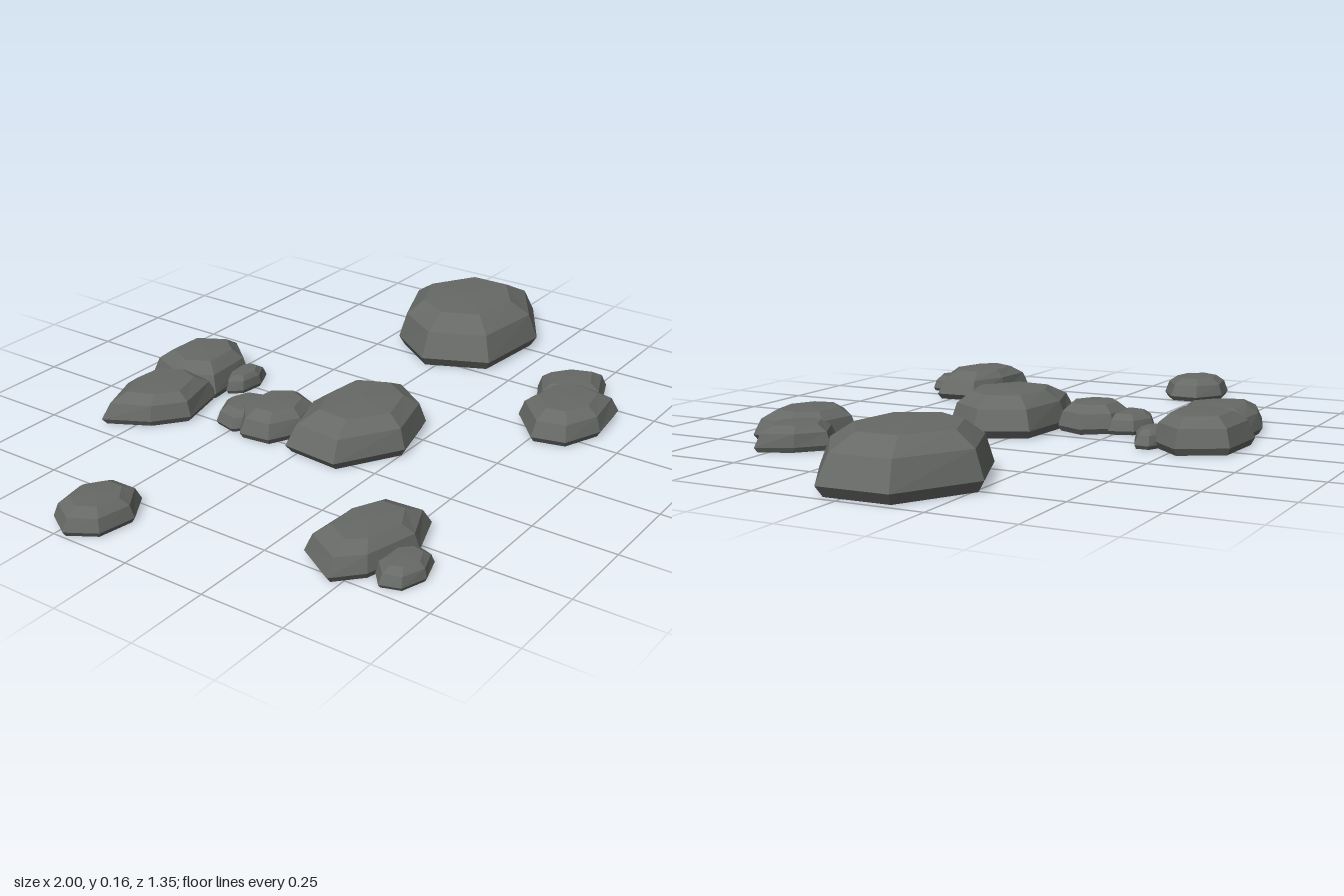
import * as THREE from 'three';

// Cross-section rings: [height fraction, outline scale, rounding towards a circle]
const RINGS = [
  [0, 0.92, 0],
  [0.2, 1, 0],
  [0.7, 0.87, 0.12],
  [0.97, 0.6, 0.3],
];

// Irregular rocks: height and plan corners as x, z pairs in hundredths of a unit
const ROCKS = {
  largeRock: [0.155, [76, -28, 99.5, -15, 100, 6, 79, 19, 52, 16.5, 43, -3, 54, -19]],
  middleRock: [0.12, [-12, -8, 9.5, -6.5, 16.5, 8.5, 7, 21.5, -12, 26.5, -31, 15, -29.5, -3]],
  backRightRock: [0.09, [-46.5, -58.5, -30.5, -64, -15.5, -64, -9, -53, -13, -42, -30, -38, -39.5, -45.5]],
  backLeftRock: [0.105, [-13.5, -67.5, 5, -66.5, 13, -53, 4, -43, -14, -41.5, -20, -53]],
  frontRightRock: [0.092, [-71.5, 35, -56, 36.5, -42, 41, -41, 54, -54.5, 59, -71.5, 54.5, -79, 47.5]],
  frontLeftRock: [0.09, [28, 41, 42, 43, 50, 51.5, 47, 64.5, 31, 66.5, 19, 61.5, 16.5, 51.5]],
  frontLeftSmallRock: [0.075, [49, 36, 57, 43, 62, 53, 49, 58, 38, 54, 37, 42]],
};

// Rounder stones: height, centre x and z, radius along x and z, angle of the first corner
const PEBBLES = {
  sideRock: [0.072, -0.866, -0.217, 0.134, 0.105, Math.PI],
  middleBackRock: [0.085, -0.17, -0.155, 0.138, 0.11, -0.1],
  middleBackPebble: [0.06, -0.183, -0.257, 0.106, 0.084, -1.6],
  backPebble: [0.055, 0, -0.413, 0.09, 0.049, Math.PI],
  frontRightPebble: [0.052, -0.637, 0.603, 0.097, 0.067, Math.PI / 2],
};

function outlineCorners(plan) {
  return Array.from({ length: plan.length / 2 },
    (_, i) => new THREE.Vector2(plan[2 * i] / 100, plan[2 * i + 1] / 100));
}

function ellipseCorners(x, z, rx, rz, start) {
  return Array.from({ length: 7 }, (_, i) => {
    const a = start + (i / 7) * Math.PI * 2;
    return new THREE.Vector2(x + rx * Math.cos(a), z + rz * Math.sin(a));
  });
}

// Lofts the rings of one rock and closes it with a base and a low crown
function rockGeometry(height, corners) {
  const n = corners.length;
  const c = new THREE.Box2().setFromPoints(corners).getCenter(new THREE.Vector2());
  const mean = corners.reduce((sum, p) => sum + p.distanceTo(c), 0) / n;

  const positions = [];
  for (const [h, scale, round] of RINGS) {
    for (const p of corners) {
      const k = scale * THREE.MathUtils.lerp(1, mean / p.distanceTo(c), round);
      positions.push(c.x + (p.x - c.x) * k, h * height, c.y + (p.y - c.y) * k);
    }
  }
  const base = RINGS.length * n;
  const crown = base + 1;
  positions.push(c.x, 0, c.y, c.x, height, c.y);

  const index = [];
  const top = base - n;
  for (let i = 0; i < n; i++) {
    const j = (i + 1) % n;
    for (let r = 0; r < top; r += n) {
      index.push(r + i, r + n + i, r + j, r + j, r + n + i, r + n + j);
    }
    index.push(base, i, j, crown, top + j, top + i);
  }
  const geometry = new THREE.BufferGeometry();
  geometry.setAttribute('position', new THREE.Float32BufferAttribute(positions, 3));
  geometry.setIndex(index);

  // Separate faces keep every facet flat
  const faceted = geometry.toNonIndexed();
  faceted.computeVertexNormals();
  return faceted;
}

export function createModel() {
  const group = new THREE.Group();
  group.name = 'rockField';
  const stone = new THREE.MeshStandardMaterial({ color: 0x666966 });
  stone.name = 'darkStone';

  const addRock = (name, height, corners) => {
    const rock = new THREE.Mesh(rockGeometry(height, corners), stone);
    rock.name = name;
    group.add(rock);
  };
  for (const [name, [height, plan]] of Object.entries(ROCKS)) {
    addRock(name, height, outlineCorners(plan));
  }
  for (const [name, [height, ...ellipse]] of Object.entries(PEBBLES)) {
    addRock(name, height, ellipseCorners(...ellipse));
  }
  return group;
}
